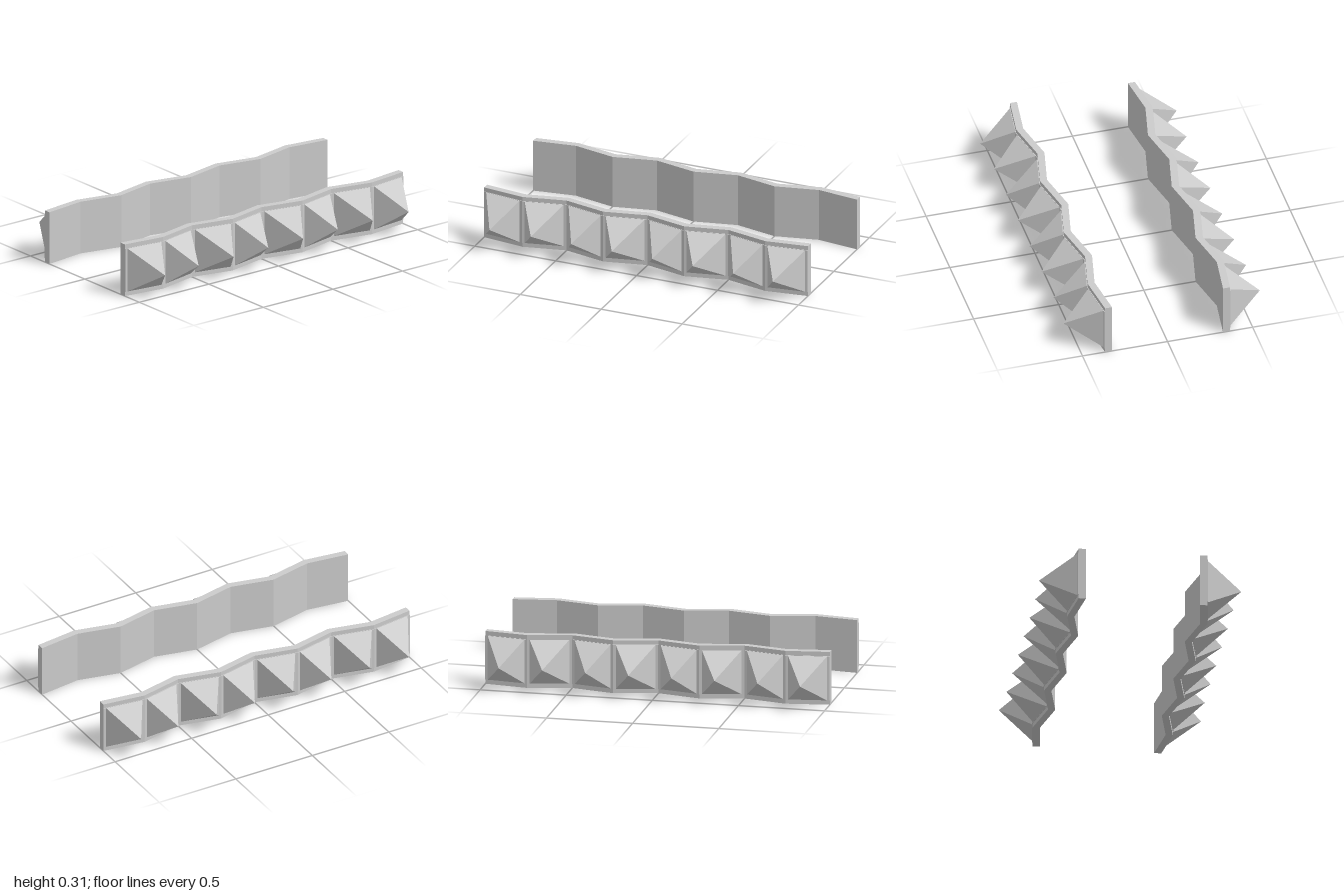
import * as THREE from 'three';

const HEIGHT = 0.31, MARGIN = 0.025, SKIN = 0.004;
// Outer zigzag line of a wall: [z, x]
const ZIGZAG = [[-1, 0.367], [-0.75, 0.4], [-0.5, 0.345], [-0.25, 0.4], [0, 0.345],
  [0.25, 0.4], [0.5, 0.345], [0.75, 0.4], [1, 0.367]];

// Zigzag band between two x offsets from the outer line, extruded upwards
function band(inner, outer, y, height) {
  const front = ZIGZAG.map(([z, x]) => new THREE.Vector2(x + outer, -z));
  const back = ZIGZAG.map(([z, x]) => new THREE.Vector2(x + inner, -z)).reverse();
  const geo = new THREE.ExtrudeGeometry(new THREE.Shape([...front, ...back]),
    { depth: height, bevelEnabled: false });
  return geo.rotateX(-Math.PI / 2).translate(0, y, 0);
}

// Pyramid pointing to +x, its base sheared to lie along a slanted panel
function spikeGeometry(slope) {
  const length = 0.192, width = 0.222, tall = HEIGHT - 2 * MARGIN;
  const geo = new THREE.ConeGeometry(Math.SQRT1_2, 1, 4).toNonIndexed();
  geo.rotateY(Math.PI / 4).translate(0, 0.5, 0).rotateZ(-Math.PI / 2);
  geo.scale(length, tall, width);
  const p = geo.attributes.position;
  for (let i = 0; i < p.count; i++) p.setX(i, p.getX(i) + slope * p.getZ(i));
  geo.computeVertexNormals();
  return geo;
}

function createSide(name) {
  const material = new THREE.MeshStandardMaterial({ color: 0xcccccc, flatShading: true });
  const side = new THREE.Group();
  side.name = name;
  const add = (geo, part) => {
    const mesh = new THREE.Mesh(geo, material);
    mesh.name = part;
    side.add(mesh);
    return mesh;
  };

  // Folded wall and the thin sheet that carries the spikes
  add(band(-0.041, 0, 0, HEIGHT), 'wall');
  add(band(-0.01, SKIN, MARGIN, HEIGHT - 2 * MARGIN), 'spikeSheet');

  // One spike in the middle of every panel
  for (let i = 0; i < ZIGZAG.length - 1; i++) {
    const [z0, x0] = ZIGZAG[i], [z1, x1] = ZIGZAG[i + 1];
    const spike = add(spikeGeometry((x1 - x0) / (z1 - z0)), 'spike' + (i + 1));
    spike.position.set((x0 + x1) / 2 + SKIN / 2, HEIGHT / 2, (z0 + z1) / 2);
  }
  return side;
}

export function createModel() {
  const model = new THREE.Group();
  model.name = 'spikedWalls';
  const left = createSide('leftWall');
  const right = createSide('rightWall');
  right.rotation.y = Math.PI; // each side is symmetric along z
  model.add(left, right);
  return model;
}
